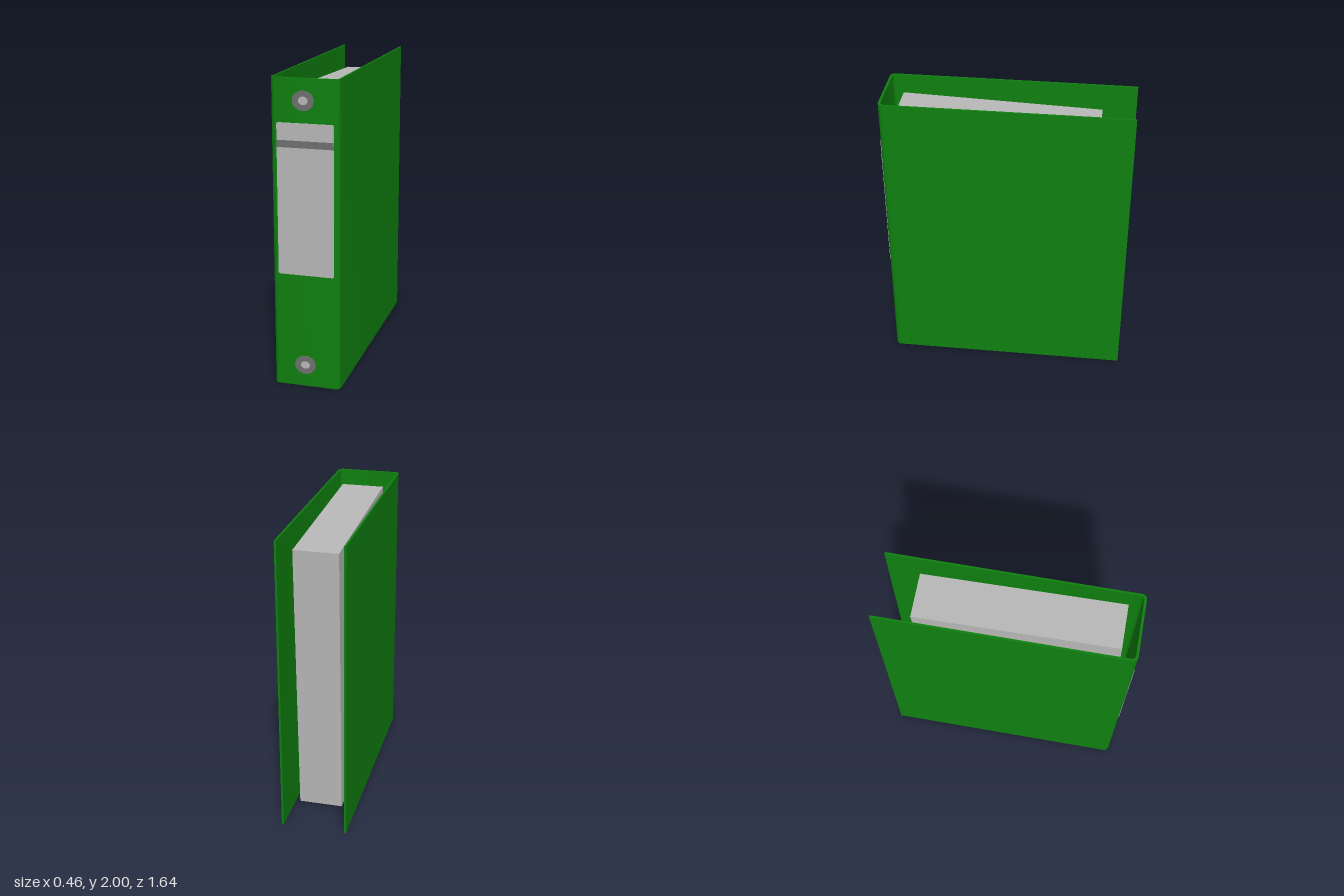
import * as THREE from 'three';
import { toCreasedNormals } from 'three/addons/utils/BufferGeometryUtils.js';

const mat = (name, color) => {
  const m = new THREE.MeshStandardMaterial({ color });
  m.name = name;
  return m;
};

// Rounded rectangle centred on the origin
function roundedRect(w, h, r) {
  const x = w / 2, y = h / 2, s = new THREE.Shape();
  s.moveTo(-x + r, -y).lineTo(x - r, -y).absarc(x - r, -y + r, r, -Math.PI / 2, 0);
  s.lineTo(x, y - r).absarc(x - r, y - r, r, 0, Math.PI / 2);
  s.lineTo(-x + r, y).absarc(-x + r, y - r, r, Math.PI / 2, Math.PI);
  s.lineTo(-x, -y + r).absarc(-x + r, -y + r, r, Math.PI, Math.PI * 1.5);
  return s;
}

export function createModel() {
  const green = mat('cover green', 0x0f800f);
  const light = mat('paper grey', 0xb8b8b8);
  const dark = mat('trim grey', 0x707070);

  const model = new THREE.Group();
  model.name = 'binder';
  const body = new THREE.Group();
  body.name = 'body';
  body.rotation.y = 0.0135;
  body.position.x = -0.005;
  model.add(body);

  const add = (name, geometry, material, x = 0, y = 0, z = 0) => {
    const m = new THREE.Mesh(geometry, material);
    m.name = name;
    m.position.set(x, y, z);
    body.add(m);
    return m;
  };
  const plate = (shape, depth) =>
    new THREE.ExtrudeGeometry(shape, { depth, bevelEnabled: false, curveSegments: 16 });

  // Cover: U-shaped outline with rounded spine corners, drawn as (x, -z) and extruded upwards
  const W = 0.22, F = 0.812, B = 0.817, R = 0.036, T = 0.013;
  const w = W - T, f = F - 0.016, r = R - T;
  const u = new THREE.Shape();
  u.moveTo(-W, B).lineTo(-W, -F + R);
  u.absarc(-W + R, -F + R, R, Math.PI, Math.PI * 1.5);
  u.lineTo(W - R, -F).absarc(W - R, -F + R, R, -Math.PI / 2, 0);
  u.lineTo(W, B).lineTo(w, B).lineTo(w, -f + r);
  u.absarc(w - r, -f + r, r, 0, -Math.PI / 2, true);
  u.lineTo(-w + r, -f).absarc(-w + r, -f + r, r, Math.PI * 1.5, Math.PI, true);
  u.lineTo(-w, B).closePath();
  const coverGeo = new THREE.ExtrudeGeometry(u, { depth: 2, bevelEnabled: false, curveSegments: 6 });
  coverGeo.rotateX(-Math.PI / 2);
  add('cover', toCreasedNormals(coverGeo, 0.6), green);

  // Stack of paper leaning back slightly
  const paper = add('paperStack', new THREE.BoxGeometry(0.295, 1.86, 1.31), light, 0.025, 0.963, 0.09);
  paper.rotation.x = -0.035;

  // Spine label with its stripe
  add('spineLabel', plate(roundedRect(0.364, 0.97, 0.012), 0.004), light, 0.002, 1.24, F);
  add('labelStripe', plate(roundedRect(0.364, 0.044, 0.001), 0.002), dark, 0.002, 1.594, F + 0.004);

  // Finger rings at the top and bottom of the spine
  const ring = new THREE.Shape().absellipse(0, 0, 0.069, 0.062, 0, Math.PI * 2);
  ring.holes.push(new THREE.Path().absellipse(0, 0, 0.031, 0.026, 0, Math.PI * 2, true));
  const disc = new THREE.Shape().absellipse(0, 0, 0.031, 0.026, 0, Math.PI * 2);
  for (const [name, y] of [['upper', 1.863], ['lower', 0.147]]) {
    add(name + 'Ring', plate(ring, 0.005), dark, -0.009, y, F);
    add(name + 'RingCentre', plate(disc, 0.003), light, -0.009, y, F);
  }

  return model;
}
